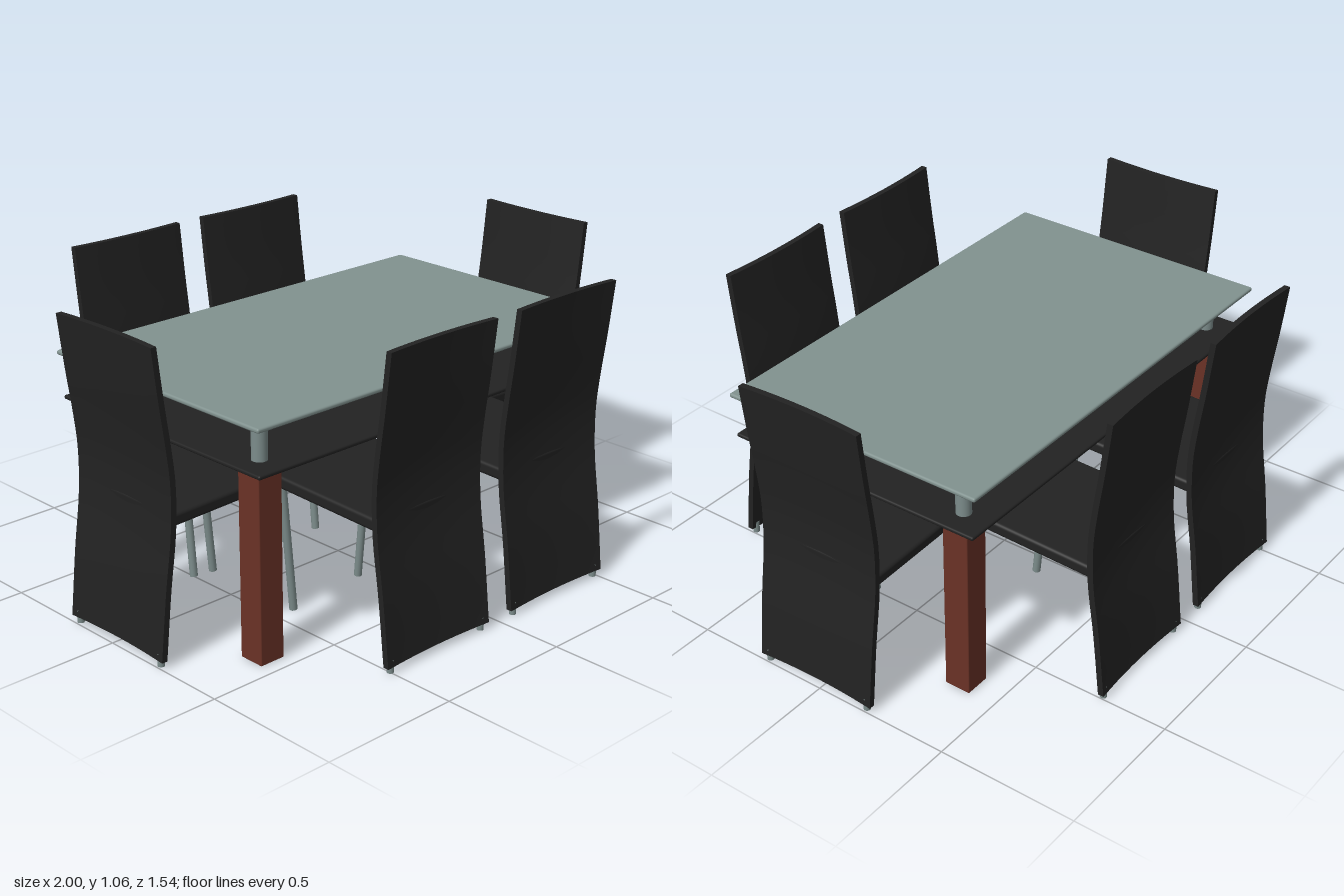
import * as THREE from 'three';
import { RoundedBoxGeometry } from 'three/addons/geometries/RoundedBoxGeometry.js';

const material = (name, color) => {
  const m = new THREE.MeshStandardMaterial({ color });
  m.name = name;
  return m;
};

function add(parent, name, geometry, mat, x = 0, y = 0, z = 0) {
  const mesh = new THREE.Mesh(geometry, mat);
  mesh.name = name;
  mesh.position.set(x, y, z);
  parent.add(mesh);
  return mesh;
}

// Tall chair back: a slab bent along its height and dished across its width.
// Its outermost corners lie at z = 0 and the seat side faces -z.
function backGeometry(width, bottom, top, thickness) {
  const bend = new THREE.CatmullRomCurve3([
    [0.02, 0], [0.25, -0.025], [0.45, -0.052], [0.6, -0.056],
    [0.72, -0.044], [0.86, -0.024], [1.055, 0],
  ].map(([y, z]) => new THREE.Vector3(0, y, z)));
  const rows = 24;
  const geo = new THREE.BoxGeometry(width, 1, thickness, 10, rows, 2);
  const p = geo.attributes.position;
  for (let i = 0; i < p.count; i++) {
    const t = p.getY(i) + 0.5;
    const u = (2 * p.getX(i)) / width;
    const c = bend.getPointAt(THREE.MathUtils.clamp(t, 0, 1));
    const y = THREE.MathUtils.clamp(c.y, bottom, top);
    p.setY(i, y);
    p.setZ(i, p.getZ(i) - thickness / 2 + c.z - 0.011 * (1 - u * u));
  }
  geo.computeVertexNormals();
  return geo;
}

export function createModel() {
  const glass = material('grey glass', 0x81928f);
  const steel = material('steel', 0x7c8c8b);
  const black = material('black leather', 0x222222);
  const wood = material('red wood', 0x6a3226);

  const model = new THREE.Group();
  model.name = 'diningSet';

  // Table
  const table = new THREE.Group();
  table.name = 'table';
  model.add(table);
  add(table, 'tableTop', new RoundedBoxGeometry(1.61, 0.016, 0.99, 2, 0.007), glass, -0.015, 0.818, 0.018);
  add(table, 'lowerShelf', new RoundedBoxGeometry(1.59, 0.014, 0.966, 2, 0.006), black, -0.015, 0.664, 0.022);
  const legGeo = new RoundedBoxGeometry(0.095, 0.658, 0.095, 2, 0.004);
  const postGeo = new THREE.CylinderGeometry(0.026, 0.026, 0.141, 24);
  for (const x of [-0.718, 0.688]) {
    for (const z of [0.403, -0.357]) {
      add(table, 'tableLeg', legGeo, wood, x, 0.329, z);
      add(table, 'glassPost', postGeo, steel, x, 0.7405, z);
    }
  }

  // Chair parts, with the outside of the back at z = 0
  const backGeo = backGeometry(0.463, 0.022, 1.055, 0.021);
  const seatGeo = new RoundedBoxGeometry(0.455, 0.044, 0.485, 3, 0.012);
  const footGeo = new THREE.CylinderGeometry(0.012, 0.012, 0.045, 12);
  const legPath = new THREE.LineCurve3(new THREE.Vector3(0, 0, -0.578), new THREE.Vector3(0, 0.475, -0.533));
  const frontLegGeo = new THREE.TubeGeometry(legPath, 1, 0.014, 12);
  const capGeo = new THREE.CircleGeometry(0.014, 12).rotateX(Math.PI / 2);

  function chair(x, z, turn) {
    const g = new THREE.Group();
    g.name = 'chair';
    g.position.set(x, 0, z);
    g.rotation.y = turn;
    add(g, 'chairBack', backGeo, black);
    const seat = add(g, 'seat', seatGeo, black, 0, 0.49, -0.307);
    seat.rotation.x = 0.03;
    for (const side of [-1, 1]) {
      add(g, 'rearFoot', footGeo, steel, side * 0.207, 0.0225, -0.016);
      add(g, 'frontLeg', frontLegGeo, steel, side * 0.205);
      add(g, 'frontLegCap', capGeo, steel, side * 0.205, 0.001, -0.578);
    }
    model.add(g);
  }

  // Two chairs along each long side and one at each end
  for (const x of [-0.293, 0.28]) {
    chair(x, 0.767, 0);
    chair(x, -0.774, Math.PI);
  }
  chair(1, 0.02, Math.PI / 2);
  chair(-1, 0.02, -Math.PI / 2);

  return model;
}
